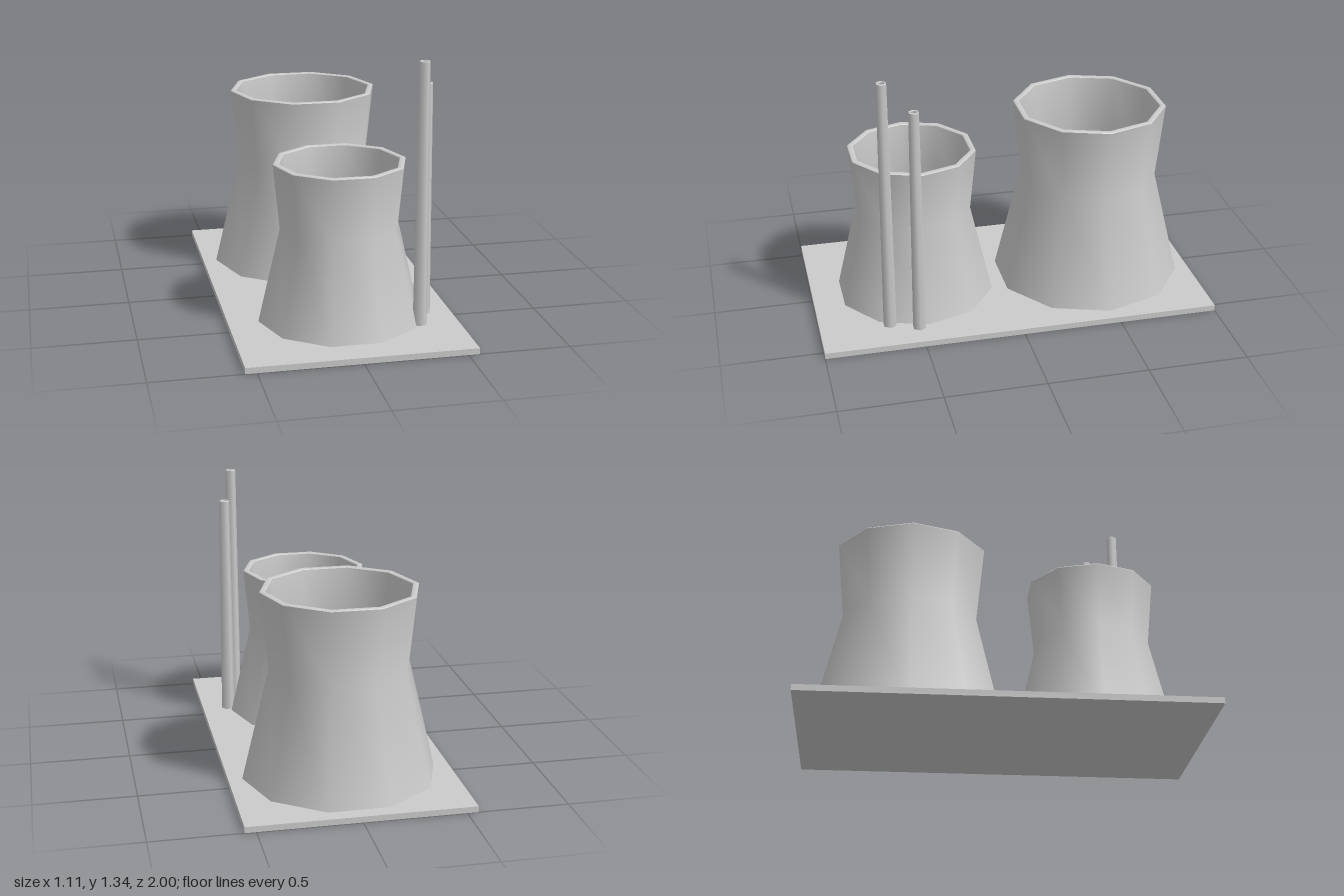
import * as THREE from 'three';

const material = new THREE.MeshStandardMaterial({ color: 0xcccccc });

// Smooth-shaded hollow shell: outer [radius, y] profile from bottom to top, walled inwards.
function createShell(name, profile, sides, wall, bevel, floorY) {
  const group = new THREE.Group();
  group.name = name;
  const [topR, topY] = profile[profile.length - 1];
  const innerR = topR - wall;

  const addSurface = (partName, points) => {
    const geometry = new THREE.LatheGeometry(
      points.map(([r, y]) => new THREE.Vector2(r, y)), sides, Math.PI / 2);
    const mesh = new THREE.Mesh(geometry, material);
    mesh.name = partName;
    group.add(mesh);
  };

  // outer wall, stopping just under the rim bevel
  const outer = profile.map(([r, y]) => [r, y]);
  outer[outer.length - 1][1] -= bevel;
  addSurface('outerWall', outer);

  // narrow bevelled rim
  addSurface('rim', [
    [topR, topY - bevel],
    [topR - bevel, topY],
    [innerR + bevel, topY],
    [innerR, topY - bevel],
  ]);

  // inner wall follows the outer one down to a closed floor
  const inner = outer.map(([r, y]) => [r - wall, y]).reverse();
  inner[inner.length - 1][1] = floorY;
  inner.push([0, floorY]);
  addSurface('innerWall', inner);
  return group;
}

export function createModel() {
  const model = new THREE.Group();
  model.name = 'powerPlant';

  // ground slab
  const base = new THREE.Mesh(new THREE.BoxGeometry(1.11, 0.03, 2), material);
  base.name = 'baseSlab';
  base.position.y = 0.015;
  model.add(base);

  // cooling towers, pinched at the waist
  const towers = [
    { name: 'largeCoolingTower', z: -0.465, profile: [[0.485, 0.03], [0.35, 0.59], [0.39, 0.98]] },
    { name: 'smallCoolingTower', z: 0.46, profile: [[0.405, 0.03], [0.295, 0.5], [0.327, 0.825]] },
  ];
  for (const { name, z, profile } of towers) {
    const tower = createShell(name, profile, 10, 0.03, 0.005, 0.06);
    tower.position.z = z;
    model.add(tower);
  }

  // slender hexagonal chimneys
  const chimneys = [
    { name: 'tallChimney', x: 0.36, z: 0.65, top: 1.335 },
    { name: 'shortChimney', x: 0.416, z: 0.51, top: 1.2 },
  ];
  for (const { name, x, z, top } of chimneys) {
    const chimney = createShell(name, [[0.035, 0.03], [0.027, top]], 6, 0.01, 0.003, top - 0.1);
    chimney.position.set(x, 0, z);
    model.add(chimney);
  }

  return model;
}
